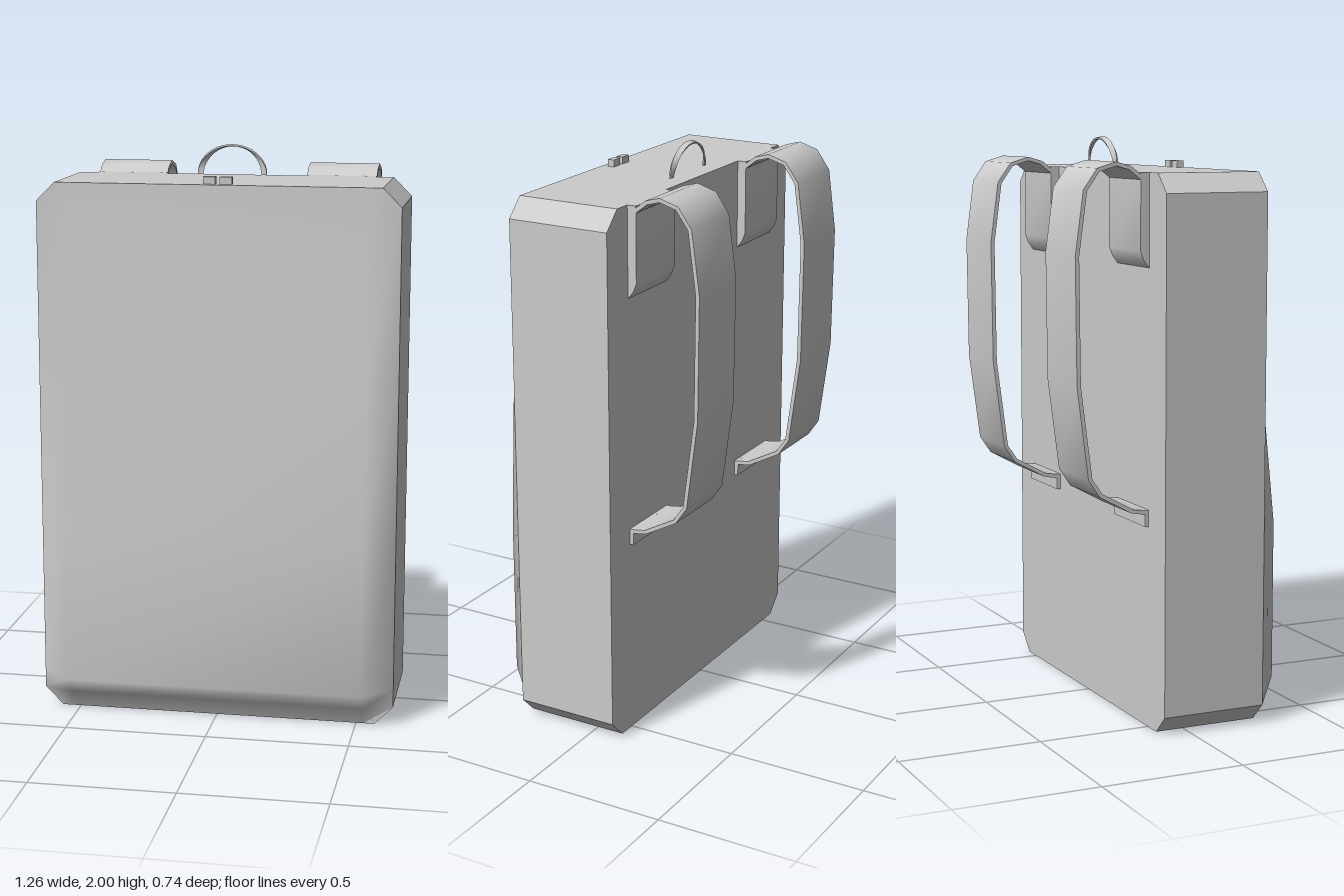
import * as THREE from 'three';
import { toCreasedNormals } from 'three/addons/utils/BufferGeometryUtils.js';

const HALF_W = 0.63, FLAT_W = 0.565, HEIGHT = 1.89, CHAMFER = 0.065;
const BACK = -0.1, SEAM = 0.275;

function gridGeometry(points, columns, closed) {
  const rows = points.length / columns, index = [];
  for (let r = 0; r < rows - 1; r++) {
    for (let c = 0; c < (closed ? columns : columns - 1); c++) {
      const n = (c + 1) % columns;
      const a = r * columns + c, b = r * columns + n;
      index.push(a, b, b + columns, a, b + columns, a + columns);
    }
  }
  const g = new THREE.BufferGeometry().setFromPoints(points);
  g.setIndex(index);
  return g;
}

// Extrudes a side profile given as [z, y] across the strap width
function sideExtrude(profile, xMin, xMax) {
  const shape = new THREE.Shape(profile.map(([z, y]) => new THREE.Vector2(z, y)));
  const g = new THREE.ExtrudeGeometry(shape, { depth: xMax - xMin, bevelEnabled: false });
  g.rotateY(-Math.PI / 2);
  g.translate(xMax, 0, 0);
  return toCreasedNormals(g, 0.75);
}

// Gives a [z, y] path a constant thickness
function thicken(path, t) {
  const pts = path.map(([z, y]) => new THREE.Vector2(z, y));
  const side = (s) => pts.map((p, i) => {
    const d = pts[Math.min(i + 1, pts.length - 1)].clone().sub(pts[Math.max(i - 1, 0)]).normalize();
    return [p.x - d.y * s * t / 2, p.y + d.x * s * t / 2];
  });
  return [...side(1), ...side(-1).reverse()];
}

// Bulged front panel
function frontPanelGeometry() {
  const rows = [ // y, outer half width, z of the bulge
    [0, FLAT_W, SEAM], [CHAMFER, HALF_W, 0.308], [0.13, HALF_W, 0.37], [0.68, HALF_W, 0.37],
    [1.25, HALF_W, 0.31], [HEIGHT - CHAMFER, HALF_W, 0.278], [HEIGHT, FLAT_W, SEAM],
  ];
  const points = rows.flatMap(([y, w, z]) => [
    new THREE.Vector3(-w, y, SEAM), new THREE.Vector3(-0.525, y, z),
    new THREE.Vector3(0.525, y, z), new THREE.Vector3(w, y, SEAM),
  ]);
  const g = gridGeometry(points, 4, false);
  g.computeVertexNormals();
  return g;
}

// Arched grab handle: a ribbon that twists from facing forward to lying flat
function handleGeometry() {
  const points = [], steps = 20;
  for (let i = 0; i <= steps; i++) {
    const a = Math.PI * i / steps, s = Math.sin(a);
    const centre = new THREE.Vector3(0.114 * Math.cos(a), HEIGHT + 0.005 + 0.102 * s, -0.041 - 0.009 * s);
    const radial = new THREE.Vector3(Math.cos(a), s, 0);
    const twist = s * Math.PI / 2 * 0.9;
    const forward = new THREE.Vector3(0, 0, 1);
    const wide = radial.clone().multiplyScalar(Math.cos(twist)).addScaledVector(forward, Math.sin(twist));
    const thin = forward.clone().multiplyScalar(Math.cos(twist)).addScaledVector(radial, -Math.sin(twist));
    for (const [u, v] of [[-1, -1], [-1, 1], [1, 1], [1, -1]]) {
      points.push(centre.clone().addScaledVector(wide, u * 0.01).addScaledVector(thin, v * 0.003));
    }
  }
  return toCreasedNormals(gridGeometry(points, 4, true), 0.7);
}

export function createModel() {
  const model = new THREE.Group();
  model.name = 'backpack';
  const grey = new THREE.MeshStandardMaterial({ color: 0xcccccc, side: THREE.DoubleSide });
  const add = (name, geometry, parent = model) => {
    const mesh = new THREE.Mesh(geometry, grey);
    mesh.name = name;
    parent.add(mesh);
    return mesh;
  };

  // Main compartment with chamfered corners
  const outline = new THREE.Shape([
    [-FLAT_W, 0], [FLAT_W, 0], [HALF_W, CHAMFER], [HALF_W, HEIGHT - CHAMFER],
    [FLAT_W, HEIGHT], [-FLAT_W, HEIGHT], [-HALF_W, HEIGHT - CHAMFER], [-HALF_W, CHAMFER],
  ].map(([x, y]) => new THREE.Vector2(x, y)));
  const body = new THREE.ExtrudeGeometry(outline, { depth: SEAM - BACK, bevelEnabled: false });
  body.translate(0, 0, BACK);
  add('body', body);
  add('frontPanel', frontPanelGeometry());

  // Shoulder straps with their upper pads and lower anchors
  const strapPath = [
    [-0.125, 1.87], [-0.17, 1.905], [-0.22, 1.919], [-0.285, 1.9], [-0.332, 1.835], [-0.361, 1.62],
    [-0.356, 1.19], [-0.315, 0.877], [-0.276, 0.82], [-0.16, 0.757], [-0.1, 0.748],
  ];
  const pad = [[BACK, 1.575], [BACK, HEIGHT], [-0.132, HEIGHT], [-0.132, 1.63], [-0.12, 1.6]];
  const anchor = [[BACK, 0.7], [BACK, 0.757], [-0.113, 0.757], [-0.113, 0.7]];
  for (const [label, xMin, xMax] of [['left', 0.253, 0.502], ['right', -0.502, -0.253]]) {
    const strap = new THREE.Group();
    strap.name = label + 'Strap';
    model.add(strap);
    add(label + 'StrapBand', sideExtrude(thicken(strapPath, 0.014), xMin, xMax), strap);
    add(label + 'StrapPad', sideExtrude(pad, xMin, xMax), strap);
    add(label + 'StrapAnchor', sideExtrude(anchor, xMin, xMax), strap);
  }

  add('handle', handleGeometry());

  // Pair of zip pulls on the top
  for (const side of [-1, 1]) {
    const pull = add(side > 0 ? 'leftZipPull' : 'rightZipPull', new THREE.BoxGeometry(0.042, 0.026, 0.025));
    pull.position.set(side * 0.029, HEIGHT + 0.012, 0.24);
  }
  return model;
}
